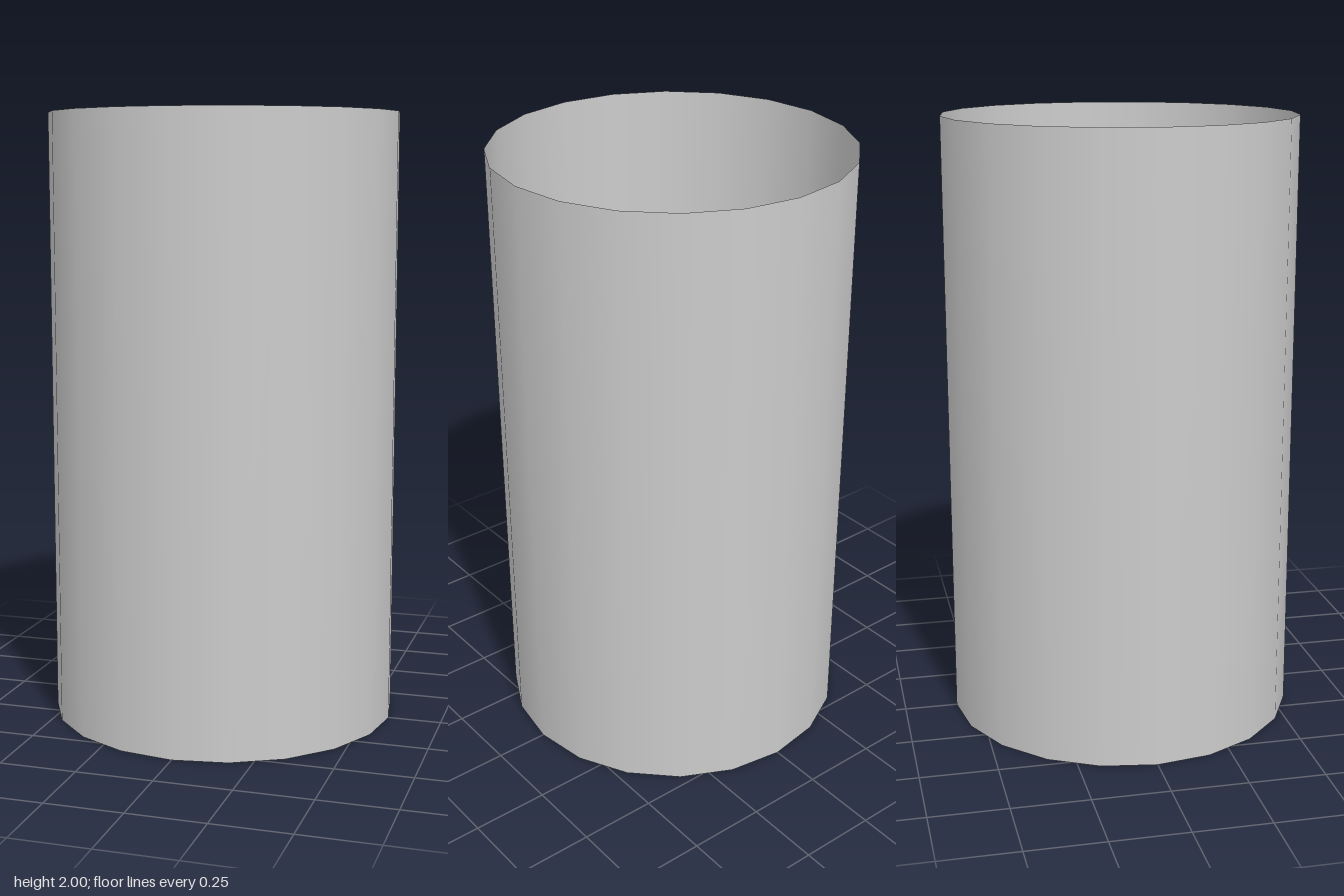
import * as THREE from 'three';

const SIDES = 20;

export function createModel() {
  const group = new THREE.Group();
  const grey = new THREE.MeshStandardMaterial({ color: 0xcccccc });
  const thinGrey = new THREE.MeshStandardMaterial({ color: 0xcccccc, side: THREE.DoubleSide });

  function add(name, geometry, material, y) {
    const mesh = new THREE.Mesh(geometry, material);
    mesh.name = name;
    mesh.position.y = y;
    group.add(mesh);
  }

  // Thin outer shell, open at both ends
  add('outerShell', new THREE.CylinderGeometry(0.575, 0.575, 2, SIDES, 1, true), thinGrey, 1);

  // Ring floating inside the shell
  const ring = new THREE.TorusGeometry(0.463, 0.0925, 12, SIDES);
  ring.rotateX(Math.PI / 2);
  add('innerRing', ring, grey, 1);

  // Central cone with a flat base; its tip is shaded softly like a dome
  const base = 0.05, height = 1.33;
  const cone = new THREE.ConeGeometry(0.332, height, SIDES, 1);
  const { position, normal } = cone.attributes;
  for (let i = 0; i < position.count; i++) {
    if (position.getY(i) > height / 2 - 0.001) normal.setXYZ(i, 0, 1, 0);
  }
  add('centralCone', cone, grey, base + height / 2);

  return group;
}
